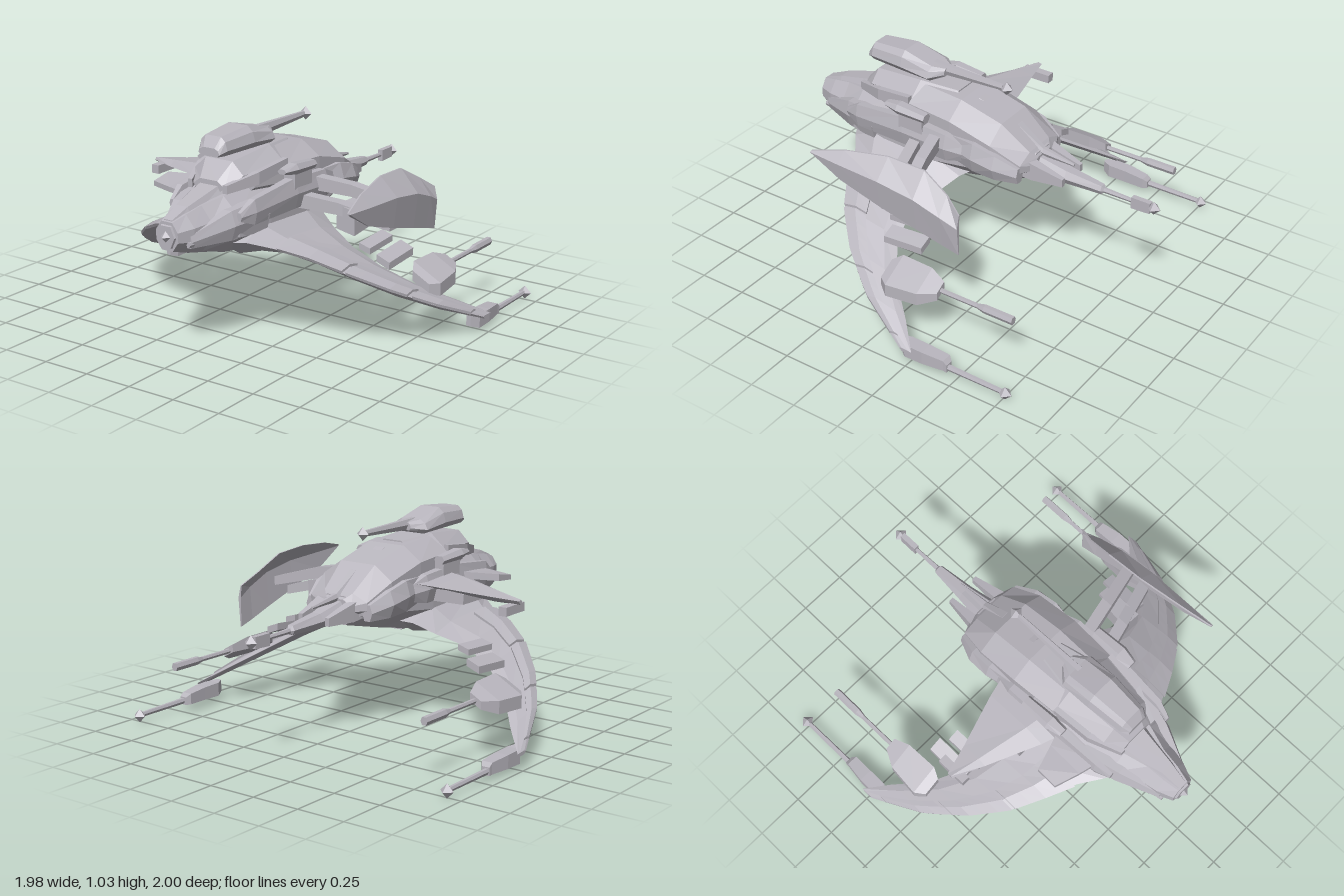
import * as THREE from 'three';

const hullGrey = new THREE.MeshStandardMaterial({ color: 0xb9b6be });
hullGrey.name = 'hullGrey';

// Unit profiles swept along z
const SQUARE = [[1, 1], [-1, 1], [-1, -1], [1, -1]];
const HEX = [[0.55, 1], [-0.55, 1], [-1, 0], [-0.55, -1], [0.55, -1], [1, 0]];
const OCT = [[0.5, 1], [-0.5, 1], [-1, 0.35], [-1, -0.35], [-0.5, -1], [0.5, -1], [1, -0.35], [1, 0.35]];
const DOME = [[0.55, 1], [-0.55, 1], [-0.85, 0.5], [-1, -0.4], [-0.75, -1], [0.75, -1], [1, -0.4], [0.85, 0.5]];

// Closed, flat shaded skin through rings of points, always facing outwards
function skin(rings) {
  const n = rings[0].length, tris = [];
  for (let i = 0; i + 1 < rings.length; i++) {
    for (let j = 0; j < n; j++) {
      const k = (j + 1) % n, a = rings[i], b = rings[i + 1];
      tris.push([a[j], a[k], b[k]], [a[j], b[k], b[j]]);
    }
  }
  const first = rings[0], last = rings[rings.length - 1];
  for (let j = 1; j + 1 < n; j++) {
    tris.push([first[0], first[j + 1], first[j]], [last[0], last[j], last[j + 1]]);
  }
  let volume = 0;
  const o = new THREE.Vector3(...first[0]);
  const v = (p) => new THREE.Vector3(...p).sub(o);
  for (const [a, b, c] of tris) volume += v(a).dot(v(b).cross(v(c)));
  const pos = tris.flatMap(([a, b, c]) => (volume < 0 ? [a, c, b] : [a, b, c])).flat();
  const g = new THREE.BufferGeometry();
  g.setAttribute('position', new THREE.Float32BufferAttribute(pos, 3));
  g.computeVertexNormals();
  return g;
}

// Stations are [z, centre x, centre y, half width, half height]; side mirrors x, tilt slopes the width
function sweep(profile, stations, side = 1, tilt = 0) {
  return skin(stations.map(([z, cx, cy, hw, hh]) =>
    profile.map(([px, py]) => [side * (cx + px * hw), cy + py * hh + tilt * px * hw, z])));
}

// Wing stations: x, y, leading z, trailing z, thickness, drop from leading to trailing edge
const WING = [
  [0.1, 0.54, 0.7, -0.05, 0.17, 0], [0.2, 0.535, 0.64, 0.0, 0.13, 0.02], [0.3, 0.495, 0.565, 0.05, 0.075, 0.04],
  [0.45, 0.445, 0.49, 0.11, 0.06, 0.05], [0.6, 0.37, 0.4, 0.08, 0.055, 0.06], [0.75, 0.275, 0.25, -0.02, 0.05, 0.06],
  [0.88, 0.18, 0.06, -0.17, 0.04, 0.05], [0.99, 0.085, -0.21, -0.28, 0.018, 0.005],
];
function wingAt(x) {
  let i = 0;
  while (i < WING.length - 2 && WING[i + 1][0] < x) i++;
  const t = (x - WING[i][0]) / (WING[i + 1][0] - WING[i][0]);
  return WING[i].map((v, k) => v + (WING[i + 1][k] - v) * t);
}
// Places [chord fraction, height above the mid surface] points on a wing station
function wingRing([x, y, zl, zt, , drop], side, points) {
  return points.map(([t, dy]) => [side * x, y + drop * (0.5 - t) + dy, zl + (zt - zl) * t]);
}
function wingSection(station, side) {
  const h = station[4] / 2;
  return wingRing(station, side, [[0, 0.004], [0.2, h], [0.75, h], [1, 0.008], [0.75, -h], [0.2, -h]]);
}
function plateSection(x, side) {
  const station = wingAt(x), h = station[4] / 2;
  return wingRing(station, side, [[-0.02, 0.014], [0.2, h + 0.012], [0.4, h + 0.01], [0.4, h - 0.004], [0.2, h - 0.004], [0, 0]]);
}

export function createModel() {
  const model = new THREE.Group();
  const add = (name, geometry) => {
    const mesh = new THREE.Mesh(geometry, hullGrey);
    mesh.name = name;
    model.add(mesh);
    return mesh;
  };
  const tip = (name, x, y, z, r = 0.035) => add(name, new THREE.OctahedronGeometry(r)).position.set(x, y, z);

  // Lower hull and nose
  add('lowerHull', sweep(OCT, [
    [0.96, 0, 0.63, 0.062, 0.068], [0.88, 0, 0.63, 0.095, 0.09], [0.78, 0, 0.63, 0.115, 0.11],
    [0.66, 0, 0.625, 0.185, 0.135], [0.45, 0, 0.625, 0.21, 0.16], [0.15, 0, 0.64, 0.215, 0.175],
    [-0.12, 0, 0.66, 0.2, 0.14], [-0.35, 0, 0.64, 0.11, 0.07],
  ]));
  add('noseRidge', sweep(HEX, [[0.95, 0, 0.66, 0.04, 0.045], [0.85, 0, 0.69, 0.06, 0.055], [0.6, 0, 0.74, 0.1, 0.07]]));
  add('noseCollar', sweep(HEX, [[0.97, 0, 0.63, 0.05, 0.05], [0.9, 0, 0.63, 0.075, 0.075]]));
  tip('noseTip', 0, 0.63, 0.962);
  add('chin', sweep(HEX, [[0.86, 0, 0.56, 0.06, 0.03], [0.55, 0, 0.51, 0.1, 0.05], [0.1, 0, 0.5, 0.1, 0.04]]));

  // Upper shell and cockpit
  add('upperShell', sweep(OCT, [
    [0.5, 0, 0.8, 0.15, 0.09], [0.3, 0, 0.8, 0.195, 0.115], [0.05, 0, 0.79, 0.21, 0.11],
    [-0.18, 0, 0.73, 0.205, 0.11], [-0.33, 0, 0.67, 0.17, 0.055], [-0.36, 0, 0.655, 0.1, 0.04],
  ]));
  add('cockpit', sweep(HEX, [[0.65, 0, 0.79, 0.09, 0.03], [0.57, 0, 0.84, 0.14, 0.06], [0.3, 0, 0.86, 0.17, 0.065], [0.1, 0, 0.86, 0.1, 0.05]]));

  // Top turret with rearward barrel
  add('turret', sweep(DOME, [
    [0.645, 0, 0.95, 0.06, 0.02], [0.61, 0, 0.975, 0.08, 0.045], [0.42, 0, 0.983, 0.1, 0.053],
    [0.26, 0, 0.96, 0.1, 0.035], [0.2, 0, 0.965, 0.04, 0.02],
  ]));
  add('turretBarrel', sweep(HEX, [[0.3, 0, 0.97, 0.025, 0.03], [0.1, 0, 0.972, 0.018, 0.022], [-0.12, 0, 0.974, 0.012, 0.014]]));
  tip('turretTip', 0, 0.974, -0.14);

  // Tail boom
  add('tailBoom', sweep(HEX, [
    [-0.2, 0, 0.66, 0.1, 0.09], [-0.36, 0, 0.635, 0.065, 0.05], [-0.5, 0, 0.615, 0.045, 0.035],
    [-0.69, 0, 0.605, 0.025, 0.022], [-0.7, 0, 0.603, 0.013, 0.012], [-0.86, 0, 0.6, 0.009, 0.009],
  ]));
  add('tailPod', sweep(SQUARE, [[-0.85, 0, 0.595, 0.014, 0.03], [-0.95, 0, 0.597, 0.014, 0.028]]));
  tip('tailTip', 0, 0.6, -0.965);
  add('tailSpine', sweep(HEX, [[0, 0, 0.86, 0.05, 0.03], [-0.22, 0, 0.77, 0.035, 0.04], [-0.36, 0, 0.7, 0.02, 0.02], [-0.53, 0, 0.68, 0.006, 0.006]]));

  // Mirrored parts
  for (const s of [1, -1]) {
    add('wing', skin(WING.map((w) => wingSection(w, s))));
    for (const [a, b] of [[0.32, 0.58], [0.595, 0.795], [0.81, 0.96]]) {
      add('wingEdgePlate', skin([0, 0.25, 0.5, 0.75, 1].map((t) => plateSection(a + (b - a) * t, s))));
    }
    // Wing tip pod
    add('tipPod', sweep(SQUARE, [
      [-0.18, 0.925, 0.07, 0.012, 0.03], [-0.22, 0.93, 0.06, 0.035, 0.035], [-0.32, 0.93, 0.06, 0.035, 0.033],
      [-0.43, 0.922, 0.055, 0.028, 0.028], [-0.45, 0.93, 0.045, 0.02, 0.02],
    ], s));
    add('tipRod', sweep(HEX, [[-0.42, 0.933, 0.045, 0.014, 0.014], [-0.75, 0.933, 0.042, 0.011, 0.011]], s));
    tip('tipDiamond', s * 0.933, 0.04, -0.76);
    // Wing gun, a slab tilted along the wing
    add('gunPod', sweep(SQUARE, [
      [0.02, 0.77, 0.29, 0.045, 0.025], [-0.03, 0.775, 0.297, 0.075, 0.032], [-0.2, 0.77, 0.3, 0.065, 0.032], [-0.285, 0.76, 0.303, 0.03, 0.02],
    ], s, -0.55));
    add('gunBarrel', sweep(HEX, [
      [-0.27, 0.755, 0.303, 0.011, 0.011], [-0.49, 0.755, 0.303, 0.011, 0.011], [-0.53, 0.755, 0.303, 0.019, 0.019], [-0.685, 0.755, 0.303, 0.019, 0.019],
    ], s));
    // Thruster blocks behind the wing
    add('outerBlock', sweep(SQUARE, [[0.12, 0.62, 0.39, 0.035, 0.018], [-0.1, 0.62, 0.405, 0.035, 0.018]], s, -0.4));
    add('innerBlock', sweep(SQUARE, [[0.15, 0.535, 0.45, 0.03, 0.015], [-0.055, 0.535, 0.462, 0.03, 0.015]], s, -0.3));
    // Cheeks, side rails, shoulders
    add('cheek', sweep(HEX, [[0.9, 0.075, 0.6, 0.02, 0.03], [0.7, 0.14, 0.64, 0.05, 0.07], [0.5, 0.2, 0.66, 0.04, 0.08]], s));
    add('noseGun', sweep(HEX, [[0.915, 0.085, 0.59, 0.01, 0.012], [0.8, 0.095, 0.59, 0.015, 0.02]], s));
    add('sideRail', sweep(HEX, [
      [0.68, 0.195, 0.68, 0.015, 0.02], [0.6, 0.21, 0.69, 0.028, 0.06], [0.3, 0.222, 0.71, 0.04, 0.075], [0.05, 0.222, 0.7, 0.042, 0.07], [-0.05, 0.21, 0.69, 0.03, 0.04],
    ], s));
    add('cockpitStrut', sweep(SQUARE, [[0.66, 0.1, 0.79, 0.012, 0.02], [0.5, 0.165, 0.82, 0.015, 0.03], [0.3, 0.185, 0.85, 0.014, 0.025]], s));
    add('sidePod', sweep(HEX, [[0.4, 0.235, 0.835, 0.025, 0.012], [0.32, 0.242, 0.835, 0.038, 0.026], [0.16, 0.242, 0.825, 0.03, 0.02]], s));
    add('podMount', sweep(SQUARE, [[0.32, 0.22, 0.78, 0.035, 0.05], [0.18, 0.22, 0.78, 0.035, 0.05]], s));
    add('shoulder', sweep(HEX, [[0.05, 0.2, 0.7, 0.02, 0.06], [-0.1, 0.205, 0.69, 0.05, 0.075], [-0.22, 0.195, 0.67, 0.055, 0.065], [-0.33, 0.17, 0.64, 0.03, 0.04]], s));
    add('tailFin', sweep(SQUARE, [[-0.2, 0.1, 0.68, 0.035, 0.06], [-0.36, 0.09, 0.64, 0.025, 0.045], [-0.52, 0.08, 0.62, 0.012, 0.02]], s));
  }

  // Left side: struts carrying a curved blade
  for (const [z0, z1, y0, y1, d] of [[0.12, 0.0, 0.725, 0.64, 0.03], [0.24, 0.1, 0.665, 0.575, 0.03]]) {
    add('bladeStrut', skin([[0.2, 0], [0.42, 0.45], [0.66, 1]].map(([x, t]) => SQUARE.map(([a, b]) =>
      [x, y0 + (y1 - y0) * t + b * (0.035 - 0.012 * t) + 0.015 * Math.sin(t * Math.PI), z0 + (z1 - z0) * t + a * d]))));
  }
  add('strutBlock', sweep(SQUARE, [[0.2, 0.46, 0.59, 0.05, 0.06], [0.06, 0.465, 0.6, 0.045, 0.055]], 1, -0.2));
  // Blade stations: z, then top, middle and bottom points as x, y
  const blade = [
    [0.52, 0.681, 0.745, 0.683, 0.74, 0.682, 0.735], [0.35, 0.64, 0.785, 0.685, 0.73, 0.68, 0.64], [0.12, 0.6, 0.81, 0.687, 0.72, 0.675, 0.57],
    [-0.08, 0.59, 0.8, 0.68, 0.69, 0.665, 0.515], [-0.22, 0.61, 0.725, 0.67, 0.64, 0.655, 0.475], [-0.31, 0.645, 0.665, 0.655, 0.6, 0.65, 0.452],
  ];
  add('blade', skin(blade.map(([z, tx, ty, mx, my, bx, by]) =>
    [[tx, ty, z], [mx + 0.006, my, z], [bx, by, z], [bx - 0.006, by, z], [mx - 0.008, my, z], [tx - 0.008, ty, z]])));

  // Right side: tapered stub wing and armour step
  const stub = [[0.15, 0.715, 0.4, -0.04, 0.045], [0.32, 0.71, 0.34, 0.0, 0.035], [0.58, 0.69, 0.22, 0.08, 0.024], [0.73, 0.685, 0.15, 0.12, 0.012]];
  add('stubWing', skin(stub.map(([x, y, zl, zt, h]) =>
    [[-x, y, zl], [-x, y + h, zl * 0.7 + zt * 0.3], [-x, y + h * 0.6, zt], [-x, y - h, zl * 0.5 + zt * 0.5]])));
  add('stubPod', sweep(SQUARE, [[0.2, -0.69, 0.652, 0.022, 0.022], [0.04, -0.69, 0.652, 0.022, 0.022]]));
  add('armourStep', skin([[0.18, 0.6, 0.34], [0.3, 0.57, 0.38], [0.425, 0.53, 0.42]].map(([x, zf, zb]) =>
    [[-x, 0.715, zf], [-x, 0.735, zb], [-x, 0.7, zb], [-x, 0.69, zf]])));
  add('stubBrace', skin([[0.18, 0.68, 0.05], [0.42, 0.66, 0.025]].map(([x, y, h]) => SQUARE.map(([a, b]) => [-x, y + b * h, 0.2 + a * 0.09]))));

  return model;
}
